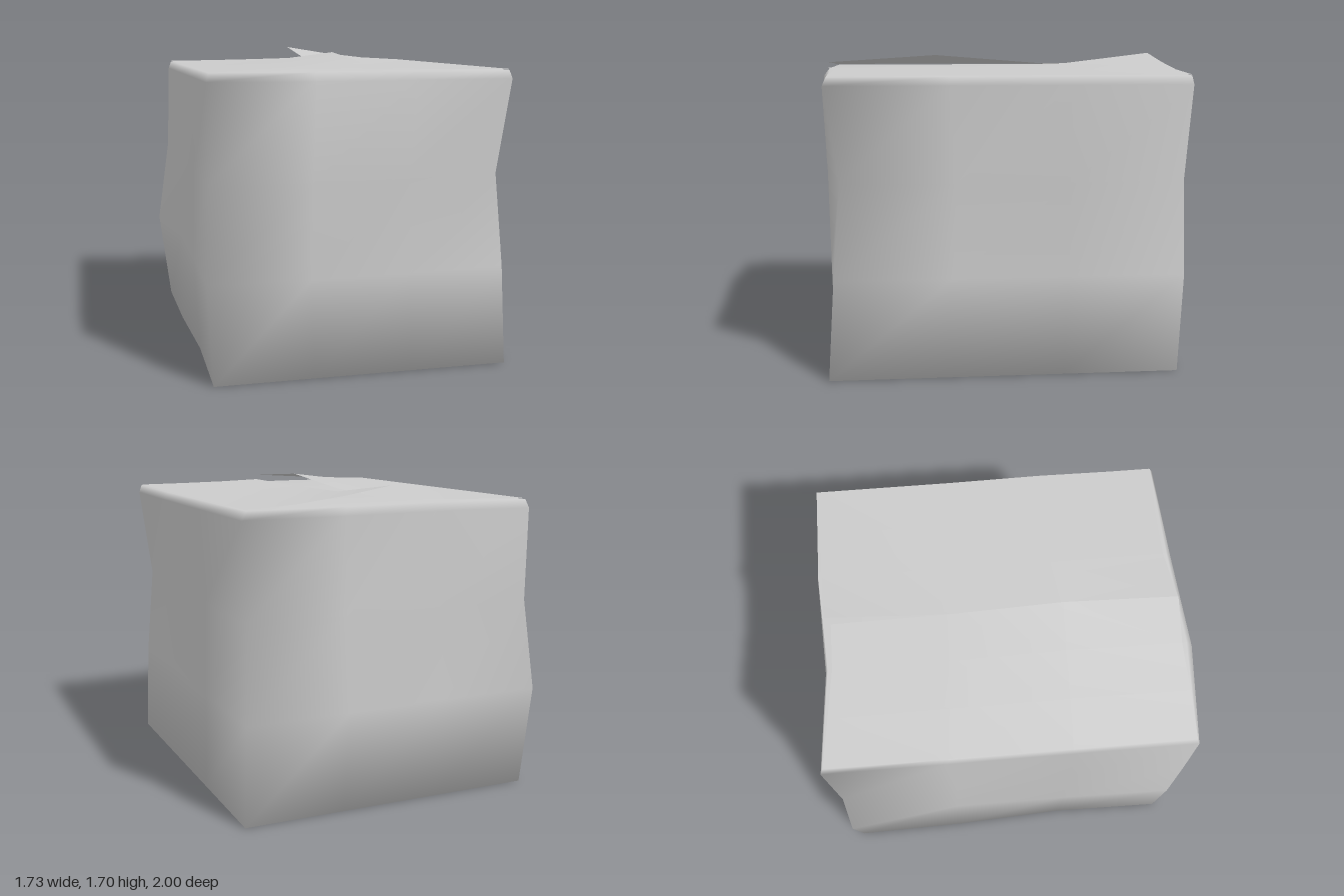
import * as THREE from 'three';
import { mergeVertices } from 'three/addons/utils/BufferGeometryUtils.js';

const lerp = THREE.MathUtils.lerp;

// Levels of the dented box: height, then [x, z] of the corners
// front -x, front +x, back +x, back -x
const LEVELS = [
  { y: 0.0, c: [[-0.76, 0.94], [0.85, 0.935], [0.85, -0.95], [-0.8, -0.985]] },
  { y: 0.54, c: [[-0.79, 0.95], [0.835, 0.9], [0.845, -0.975], [-0.87, -0.985]] },
  { y: 1.05, c: [[-0.775, 0.965], [0.8, 0.86], [0.83, -0.96], [-0.8, -0.965]] },
  { y: 1.56, c: [[-0.775, 0.96], [0.85, 0.93], [0.86, -0.99], [-0.78, -1.0]] },
  { y: 1.605, c: [[-0.76, 0.94], [0.84, 0.91], [0.835, -0.985], [-0.765, -0.985]] },
];

// Offset of the two inner columns of each wall, per level
const FRONT = [[0, 0], [0.035, 0.03], [0.07, 0.06], [0.05, 0.02], [0.035, 0.01]];
const BACK = [[0, 0], [0.01, 0], [0, 0], [0.035, 0], [0.04, 0]];
const LEFT = [[0, 0.02], [0.06, 0.035], [0.01, 0.01], [0, 0], [0, 0]];
const RIGHT = [[0, 0], [0.005, 0.005], [0.025, 0.025], [0.005, 0.01], [0.005, 0.01]];

// Weld, smooth and turn into a mesh
function smoothMesh(name, geometry, side) {
  geometry.deleteAttribute('normal');
  geometry.deleteAttribute('uv');
  const welded = mergeVertices(geometry, 1e-4);
  welded.computeVertexNormals();
  const mesh = new THREE.Mesh(welded, new THREE.MeshStandardMaterial({ color: 0xcccccc, side }));
  mesh.name = name;
  return mesh;
}

// Box with walls bent to the levels above and a narrow bevel at the rim
function createBody() {
  const geo = new THREE.BoxGeometry(3, 4, 3, 3, 4, 3);
  const p = geo.attributes.position;
  for (let n = 0; n < p.count; n++) {
    const i = Math.round(p.getX(n) + 1.5);
    const j = Math.round(p.getY(n) + 2);
    const k = Math.round(p.getZ(n) + 1.5);
    const { y, c } = LEVELS[j];
    const u = i / 3, v = k / 3;
    let x = lerp(lerp(c[3][0], c[2][0], u), lerp(c[0][0], c[1][0], u), v);
    let z = lerp(lerp(c[3][1], c[2][1], u), lerp(c[0][1], c[1][1], u), v);
    if (i === 1 || i === 2) {
      if (k === 3) z += FRONT[j][i - 1];
      if (k === 0) z += BACK[j][i - 1];
    }
    if (k === 1 || k === 2) {
      if (i === 0) x += LEFT[j][k - 1];
      if (i === 3) x += RIGHT[j][k - 1];
    }
    p.setXYZ(n, x, y, z);
  }
  return smoothMesh('boxBody', geo, THREE.FrontSide);
}

// Warped lid flap: columns run from -x to +x, rows from back to front.
// seam gives the height of the free edge at each row.
function createFlap(name, { xs, hingeAtStart, seam, backZ, frontZ, power }) {
  const geo = new THREE.PlaneGeometry(3, 3, 3, 3);
  const p = geo.attributes.position;
  for (let n = 0; n < p.count; n++) {
    const i = Math.round(p.getX(n) + 1.5);
    const k = Math.round(1.5 - p.getY(n));
    const t = hingeAtStart ? i / 3 : 1 - i / 3;
    const y = 1.61 + (seam[k] - 1.61) * Math.pow(t, power);
    p.setXYZ(n, xs[i], y, lerp(backZ[i], frontZ[i], k / 3));
  }
  return smoothMesh(name, geo, THREE.DoubleSide);
}

export function createModel() {
  const group = new THREE.Group();
  group.name = 'cardboardBox';
  group.add(createBody());
  group.add(createFlap('flapNegativeX', {
    xs: [-0.765, -0.5, -0.24, 0.022], hingeAtStart: true, power: 1.3,
    seam: [1.625, 1.64, 1.69, 1.65],
    backZ: [-0.98, -0.95, -0.92, -0.92], frontZ: [0.945, 0.945, 0.935, 0.95],
  }));
  group.add(createFlap('flapPositiveX', {
    xs: [0.03, 0.3, 0.57, 0.84], hingeAtStart: false, power: 1.6,
    seam: [1.7, 1.625, 1.618, 1.62],
    backZ: [-0.945, -0.96, -0.97, -0.985], frontZ: [0.955, 0.91, 0.905, 0.905],
  }));
  return group;
}
